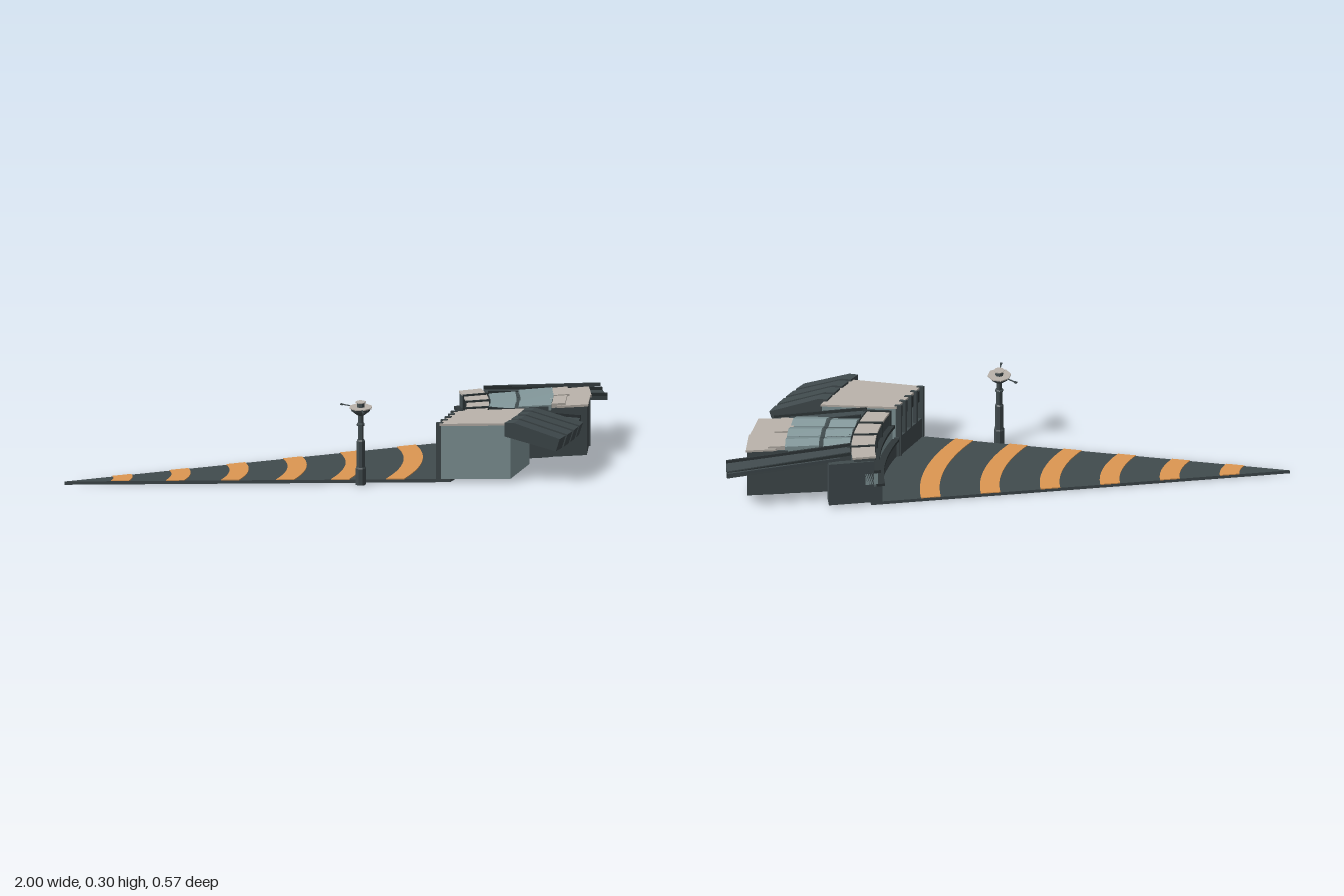
import * as THREE from 'three';

const mat = (color) => new THREE.MeshStandardMaterial({ color, flatShading: true });
const DARK = mat(0x414b4e), DEEP = mat(0x2f3739), BLUE = mat(0x82979a), PALE = mat(0xbab3ab), ORANGE = mat(0xdd9752);

// Point in the squashed fan: radius r and angle t (degrees) about the tip
const SQUASH = 0.57;
function fan(r, t, y) {
  const a = THREE.MathUtils.degToRad(t);
  return [-1 + r * Math.cos(a), y, -0.29 + SQUASH * r * Math.sin(a)];
}

// Sweep a convex (r, y) profile, listed counter-clockwise, from angle t0 to t1
function sweep(profile, t0, t1, steps = 1) {
  const pos = [];
  const n = profile.length;
  const at = (i, s) => fan(profile[i % n][0], t0 + (t1 - t0) * s / steps, profile[i % n][1]);
  const tri = (a, b, c) => pos.push(...a, ...b, ...c);
  for (let s = 0; s < steps; s++) {
    for (let i = 0; i < n; i++) {
      const a = at(i, s), b = at(i + 1, s), c = at(i + 1, s + 1), d = at(i, s + 1);
      tri(a, b, c);
      tri(a, c, d);
    }
  }
  for (let i = 1; i < n - 1; i++) {
    tri(at(0, 0), at(i + 1, 0), at(i, 0));
    tri(at(0, steps), at(i, steps), at(i + 1, steps));
  }
  const g = new THREE.BufferGeometry();
  g.setAttribute('position', new THREE.Float32BufferAttribute(pos, 3));
  g.computeVertexNormals();
  return g;
}

const rect = (r0, r1, y0, y1) => [[r0, y0], [r1, y0], [r1, y1], [r0, y1]];

export function createModel() {
  const model = new THREE.Group();
  const add = (name, geometry, material, parent = model) => {
    const m = new THREE.Mesh(geometry, material);
    m.name = name;
    parent.add(m);
    return m;
  };
  const block = (name, r0, r1, t0, t1, y0, y1, material, steps = 1) =>
    add(name, sweep(rect(r0, r1, y0, y1), t0, t1, steps), material);

  // Deck wedge with curved stripes
  add('deck', sweep([[0, 0], [1.49, 0], [1.49, 0.012], [0, 0.012]], 0, 30, 16), DARK);
  for (let i = 0; i < 6; i++) {
    const r = 0.18 + i * 0.2125;
    block('deckStripe', r, r + 0.07, 0, 30, 0.011, 0.015, ORANGE, 14);
  }

  // Stepped inner wall facing the deck
  block('lowerWall', 1.45, 1.5, 0, 20.5, 0.012, 0.075, DARK, 10);
  block('wallLedge', 1.44, 1.47, 0, 20.5, 0.075, 0.085, DEEP, 10);
  block('middleWall', 1.465, 1.51, 0, 20.5, 0.085, 0.13, BLUE, 10);
  block('upperLedge', 1.455, 1.5, 0, 20.5, 0.13, 0.142, DEEP, 10);
  block('wallCore', 1.48, 1.64, 0, 20.5, 0.012, 0.18, DARK, 8);

  // Row of terrace houses along the inner wall
  for (let i = 0; i < 4; i++) {
    const t = i * 5.1;
    block('terraceBody', 1.475, 1.55, t + 0.3, t + 4.8, 0.142, 0.19, DARK, 2);
    block('terraceRoof', 1.472, 1.555, t + 0.3, t + 4.8, 0.19, 0.198, PALE, 2);
    block('terraceRib', 1.468, 1.57, t + 4.75, t + 5.15, 0.085, 0.203, DEEP);
  }

  // Middle houses with shallow ridged roofs
  for (let i = 0; i < 3; i++) {
    const t0 = 5.7 + i * 3.8, t1 = t0 + 3.6, tm = (t0 + t1) / 2;
    block('middleHouse', 1.56, 1.78, t0, t1, 0.012, 0.2, DARK);
    for (const [r0, r1, y] of [[1.56, 1.655, 0.2], [1.67, 1.79, 0.205]]) {
      const low = rect(r0, r1, y - 0.02, y);
      const roof = sweep(low, t0, t1, 2);
      // Lift the middle of the roof into a ridge
      const p = roof.attributes.position;
      const mid = [r0, r1].map((r) => fan(r, tm, y));
      for (let v = 0; v < p.count; v++) {
        for (const m of mid) {
          if (Math.hypot(p.getX(v) - m[0], p.getY(v) - m[1], p.getZ(v) - m[2]) < 1e-4) p.setY(v, y + 0.012);
        }
      }
      roof.computeVertexNormals();
      add('ridgedRoof', roof, BLUE);
    }
  }

  // Outer houses
  [[5.6, 11.1, 1.80], [11.1, 16.6, 1.79]].forEach(([t0, t1, r0], i) => {
    block('outerHouse', r0 - 0.02, 1.925 - i * 0.005, t0, t1, 0.012, 0.19, DARK);
    block('outerRoof', r0 + 0.02, 1.93 - i * 0.005, t0, t1, 0.19, 0.198, PALE);
    block('outerRoofStep', r0 - 0.01, r0 + 0.05, t0 + 0.3, t1 - 0.3, 0.19, 0.206, PALE);
  });

  // Two sloping ramps running outward, with side kerbs
  for (const [t0, t1, r1] of [[1.2, 5.4, 2], [17.2, 20.7, 1.9]]) {
    const slab = [[1.56, 0.18], [r1, 0.14], [r1, 0.155], [1.56, 0.2]];
    const kerb = [[1.56, 0.19], [r1, 0.148], [r1, 0.165], [1.56, 0.212]];
    add('ramp', sweep(slab, t0, t1), DARK);
    add('rampKerb', sweep(kerb, t0, t0 + 0.35), DEEP);
    add('rampKerb', sweep(kerb, t1 - 0.35, t1), DEEP);
  }
  add('edgeRail', sweep([[1.6, 0.192], [2, 0.162], [2, 0.174], [1.6, 0.204]], 0, 0.35), DARK);

  // Big corner hall
  block('hallWalls', 1.455, 1.725, 20.6, 30.2, 0.012, 0.208, BLUE);
  block('hallRoof', 1.45, 1.73, 20.5, 30.3, 0.208, 0.216, PALE);
  block('hallBase', 1.44, 1.46, 20.6, 30, 0.012, 0.09, DARK);
  for (let i = 0; i < 5; i++) {
    const t = 20.8 + i * 2.2;
    block('hallFrontRib', 1.435, 1.46, t, t + 0.5, 0.012, 0.22, DARK);
    if (i < 4) block('hallFrontPanel', 1.445, 1.46, t + 0.7, t + 2, 0.16, 0.205, DEEP);
  }

  // Sloping fins behind the hall
  for (let i = 0; i < 4; i++) {
    const t = 31.5 - i * 2.6;
    add('fin', sweep([[1.715, 0.175], [1.915, 0.12], [1.93, 0.165], [1.75, 0.225], [1.715, 0.225]], t - 2, t), DARK);
  }

  // Lookout tower
  const tower = new THREE.Group();
  tower.name = 'tower';
  tower.position.set(-0.015, 0, 0.053);
  model.add(tower);
  const profile = [[0, 0], [0.019, 0], [0.019, 0.06], [0.016, 0.065], [0.015, 0.16], [0.011, 0.165], [0.011, 0.215],
    [0.015, 0.217], [0.015, 0.223], [0.01, 0.226], [0.01, 0.254], [0.014, 0.256], [0.034, 0.272], [0.038, 0.281], [0, 0.281]];
  add('towerShaft', new THREE.LatheGeometry(profile.map(([x, y]) => new THREE.Vector2(x, y)), 8), DARK, tower);
  const lid = add('towerDeck', new THREE.CylinderGeometry(0.042, 0.042, 0.004, 8), PALE, tower);
  lid.position.y = 0.283;
  const cabin = add('towerCabin', new THREE.CylinderGeometry(0.013, 0.015, 0.016, 8), DARK, tower);
  cabin.position.y = 0.293;
  const cap = add('towerCap', new THREE.CylinderGeometry(0.019, 0.019, 0.003, 8), PALE, tower);
  cap.position.y = 0.302;
  for (const a of [1.8, -2.3]) {
    const arm = new THREE.Group();
    arm.name = 'towerArm';
    arm.rotation.y = -a;
    arm.position.y = 0.283;
    tower.add(arm);
    add('armRod', new THREE.BoxGeometry(0.045, 0.003, 0.004), DARK, arm).position.x = 0.055;
    add('armTip', new THREE.BoxGeometry(0.008, 0.005, 0.008), DARK, arm).position.x = 0.076;
  }
  return model;
}
